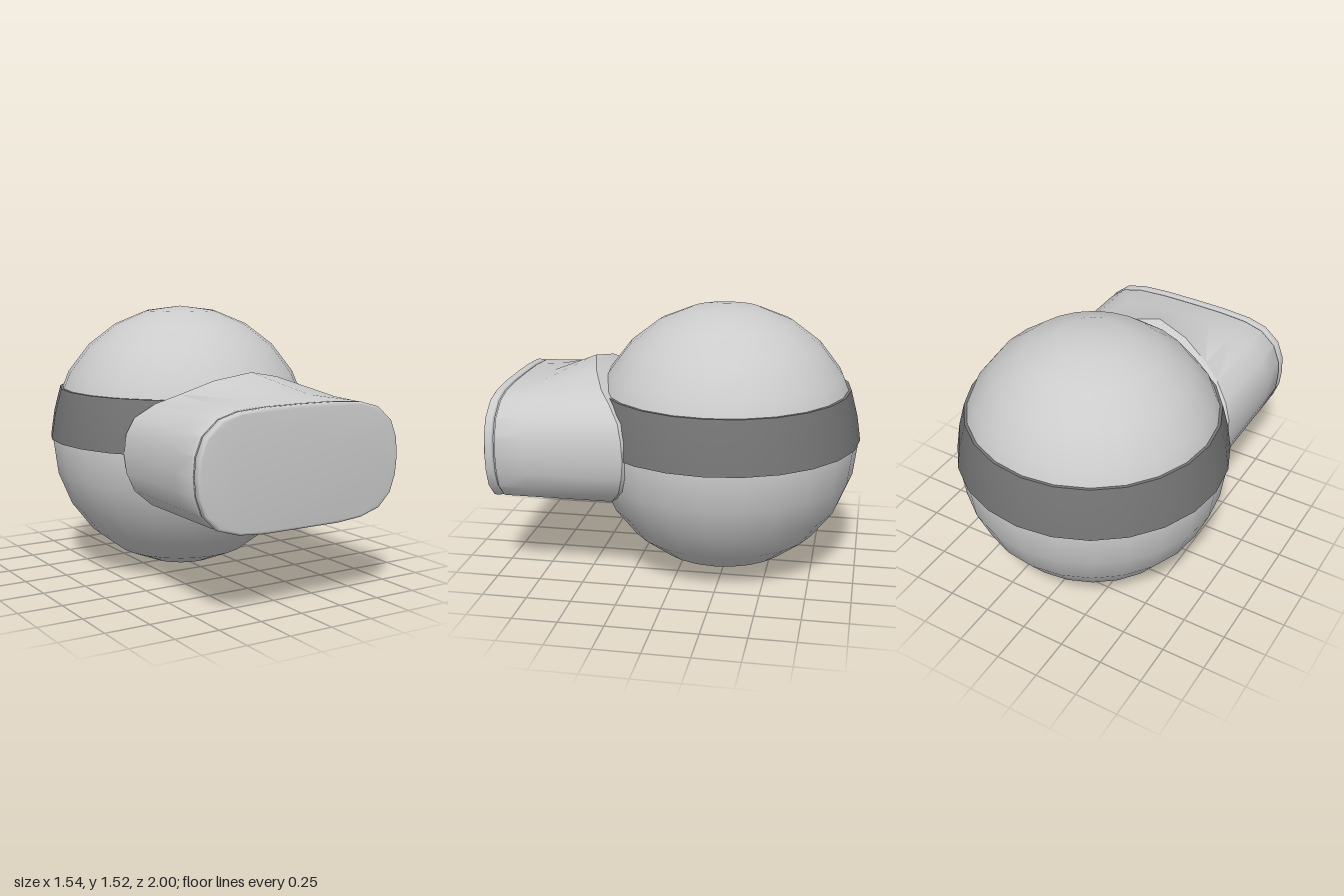
import * as THREE from 'three';
import { toCreasedNormals } from 'three/addons/utils/BufferGeometryUtils.js';

const HEAD = new THREE.Vector3(0, 0.765, -0.23);

// Half outline of the visor, bottom centre to top centre:
// front x, front y, then rear rim x, y, z
const HALF = [
  [0, 0.45, 0, 0.61, 0.5],
  [0.11, 0.45, 0.11, 0.59, 0.49],
  [0.23, 0.45, 0.23, 0.455, 0.45],
  [0.38, 0.463, 0.38, 0.463, 0.41],
  [0.5, 0.5, 0.5, 0.5, 0.32],
  [0.575, 0.575, 0.575, 0.575, 0.265],
  [0.608, 0.67, 0.608, 0.67, 0.24],
  [0.617, 0.77, 0.617, 0.77, 0.23],
  [0.608, 0.87, 0.608, 0.88, 0.24],
  [0.57, 0.965, 0.57, 0.97, 0.265],
  [0.48, 1.042, 0.48, 1.045, 0.33],
  [0.37, 1.073, 0.37, 1.095, 0.4],
  [0.2, 1.085, 0.2, 1.165, 0.47],
  [0, 1.087, 0, 1.203, 0.52],
];
// Full loop, counter-clockwise from the front
const LOOP = [
  ...HALF,
  ...HALF.slice(1, -1).reverse().map(([x, y, rx, ry, rz]) => [-x, y, -rx, ry, rz]),
];

// Skin a list of closed rings ordered front to back
function loft(rings) {
  const n = rings[0].length;
  const index = [];
  for (let i = 0; i < rings.length - 1; i++) {
    for (let j = 0; j < n; j++) {
      const k = (j + 1) % n;
      const a = i * n + j, b = i * n + k, c = b + n, d = a + n;
      index.push(a, d, c, a, c, b);
    }
  }
  const geo = new THREE.BufferGeometry();
  geo.setAttribute('position', new THREE.Float32BufferAttribute(rings.flat(2), 3));
  geo.setIndex(index);
  return toCreasedNormals(geo, 0.6);
}

export function createModel() {
  const group = new THREE.Group();
  const grey = new THREE.MeshStandardMaterial({ color: 0xcccccc });
  const greyOpen = new THREE.MeshStandardMaterial({ color: 0xcccccc, side: THREE.DoubleSide });
  const dark = new THREE.MeshStandardMaterial({ color: 0x757575, side: THREE.DoubleSide });
  const add = (name, geo, mat) => {
    const mesh = new THREE.Mesh(geo, mat);
    mesh.name = name;
    group.add(mesh);
    return mesh;
  };

  // Round head
  add('head', new THREE.SphereGeometry(0.761, 24, 12), grey).position.copy(HEAD);

  // Strap around the head, with small lips closing onto it
  const strapProfile = [[0.73, 0.77], [0.77, 0.77], [0.748, 0.915], [0.71, 1.06], [0.67, 1.06]]
    .map(([r, y]) => new THREE.Vector2(r, y));
  add('strap', toCreasedNormals(new THREE.LatheGeometry(strapProfile, 24), 0.6), dark)
    .position.z = HEAD.z;

  // Visor body: groove, straight sleeve, rim shaped to the face with a nose notch
  const flat = (z, s) => LOOP.map(([x, y]) => [x * s, 0.768 + (y - 0.768) * s, z]);
  const shoulder = LOOP.map(([x, y, , ry]) => [x, y + Math.max(0, ry - y) * (y > 0.8 ? 0.15 : 0), 0.77]);
  const rim = LOOP.map(([, , x, y, z]) => [x, y, z]);
  const seal = rim.map((p) => new THREE.Vector3(...p).lerp(HEAD, 0.2).toArray());
  add('visorBody', loft([flat(0.955, 0.97), flat(0.943, 0.97), flat(0.94, 0.99), flat(0.93, 1), shoulder, rim, seal]), greyOpen);

  // Front plate with rounded edges
  const outline = new THREE.Shape(LOOP.map(([x, y]) => new THREE.Vector2(x, y)));
  const plate = new THREE.ExtrudeGeometry(outline, {
    depth: 0.026, bevelThickness: 0.012, bevelSize: 0.014, bevelOffset: -0.014, bevelSegments: 3,
  });
  add('visorFrontPlate', toCreasedNormals(plate, 0.6), grey).position.z = 0.962;

  return group;
}
